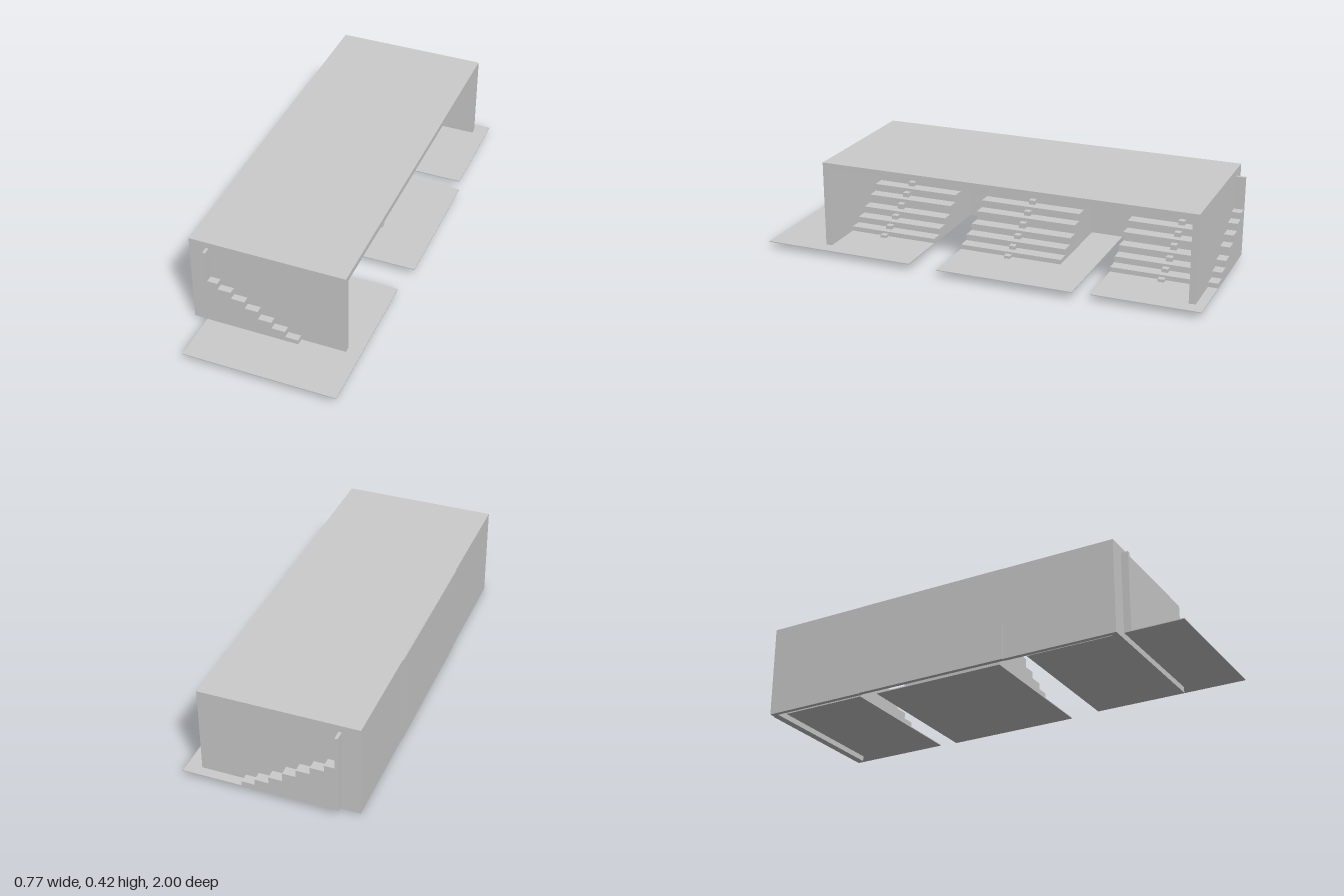
import * as THREE from 'three';

const material = new THREE.MeshStandardMaterial({ color: 0xcccccc, flatShading: true });

function add(group, name, geometry) {
  const mesh = new THREE.Mesh(geometry, material);
  mesh.name = name;
  group.add(mesh);
  return mesh;
}

// Box given by its minimum and maximum corners
function addBox(group, name, [x0, y0, z0], [x1, y1, z1]) {
  const geometry = new THREE.BoxGeometry(x1 - x0, y1 - y0, z1 - z0);
  add(group, name, geometry).position.set((x0 + x1) / 2, (y0 + y1) / 2, (z0 + z1) / 2);
}

// Nose positions and heights of the seven tiers, lowest first
const TIER_X = [0.103, 0.045, -0.015, -0.075, -0.133, -0.193, -0.252];
const TIER_Y = [0.052, 0.079, 0.109, 0.148, 0.181, 0.213, 0.242];
const FLOOR = 0.03;

// Tiered stand with a tall back panel, aisle half-steps and a ground slab
function createStand(name, { z0, z1, aisle, slab, dx = 0, dy = 0 }) {
  const stand = new THREE.Group();
  stand.name = name;

  const profile = new THREE.Shape();
  profile.moveTo(-0.31, FLOOR);
  profile.lineTo(TIER_X[0], FLOOR);
  TIER_X.forEach((x, i) => {
    profile.lineTo(x, TIER_Y[i]);
    profile.lineTo(TIER_X[i + 1] ?? -0.297, TIER_Y[i]);
  });
  profile.lineTo(-0.297, 0.39);
  profile.lineTo(-0.31, 0.39);
  const tiers = new THREE.ExtrudeGeometry(profile, { depth: z1 - z0, bevelEnabled: false });
  add(stand, 'tieredSeating', tiers).position.z = z0;

  // One small block in front of every riser
  TIER_X.forEach((x, i) => {
    const base = i ? TIER_Y[i - 1] : FLOOR;
    const top = base + (TIER_Y[i] - base) * 0.6;
    addBox(stand, 'aisleStep', [x, base, aisle - 0.014], [x + 0.027, top, aisle + 0.014]);
  });

  addBox(stand, 'groundSlab', [-0.31, FLOOR - 0.003, slab[0]], [0.362, FLOOR + 0.001, slab[1]]);
  stand.position.set(dx, dy, 0);
  return stand;
}

export function createModel() {
  const model = new THREE.Group();
  model.name = 'grandstand';

  // Shelter: roof and end walls, open at the front and below
  const shelter = new THREE.Group();
  shelter.name = 'shelter';
  addBox(shelter, 'roof', [-0.385, 0.393, -0.957], [0.3, 0.418, 0.743]);
  addBox(shelter, 'leftEndWall', [-0.385, 0, 0.715], [0.3, 0.393, 0.743]);
  addBox(shelter, 'rightEndWall', [-0.385, 0, -0.957], [0.3, 0.393, -0.928]);

  // Back wall in three panels, the middle one slightly proud
  const seams = [-0.928, -0.476, 0.23, 0.715];
  for (let i = 0; i < 3; i++) {
    const proud = i === 1 ? 0.003 : 0;
    addBox(shelter, 'backPanel', [-0.385 - proud, 0, seams[i]], [-0.365 - proud, i === 1 ? 0.417 : 0.393, seams[i + 1]]);
  }
  model.add(shelter);

  // Three stands side by side
  model.add(
    createStand('leftStand', { z0: 0.303, z1: 0.775, aisle: 0.545, slab: [0.303, 1] }),
    createStand('middleStand', { z0: -0.31, z1: 0.16, aisle: -0.07, slab: [-0.455, 0.16], dx: 0.024, dy: 0.004 }),
    createStand('rightStand', { z0: -1, z1: -0.527, aisle: -0.76, slab: [-1, -0.527], dx: 0.003, dy: -0.002 }),
  );
  return model;
}
